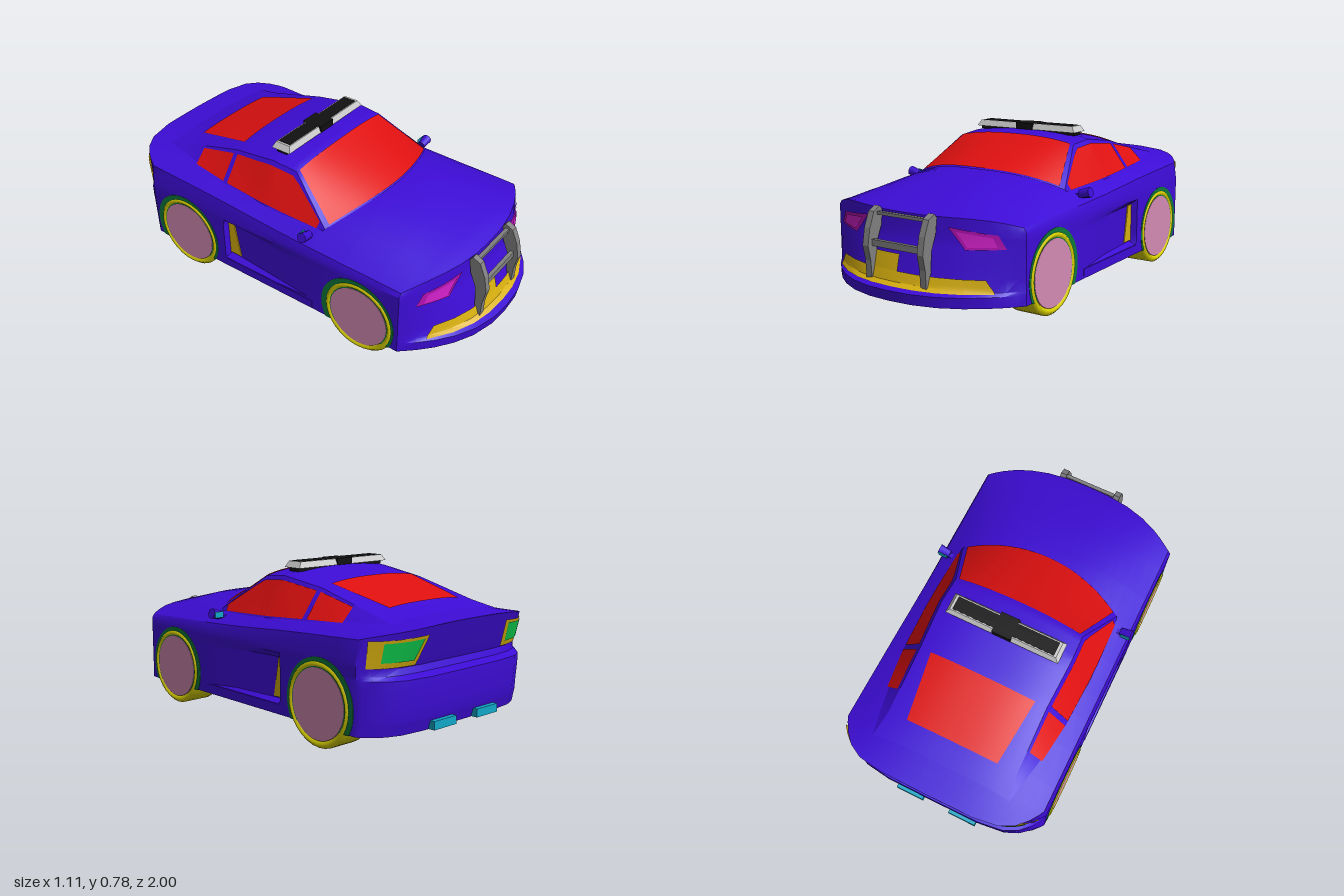
import * as THREE from 'three';
import { toCreasedNormals } from 'three/addons/utils/BufferGeometryUtils.js';

const mat = (color) => new THREE.MeshStandardMaterial({ color, side: THREE.DoubleSide });
const M = {
  paint: mat(0x3d0cd6), glass: mat(0xe01010), lamp: mat(0xb010b0), lampInner: mat(0xd020c8),
  gold: mat(0xd8b010), tyre: mat(0xd8d000), hub: mat(0xd48cb4), under: mat(0x0c7a3a),
  tail: mat(0x10d050), exhaust: mat(0x10a8c8), steel: mat(0x808080), black: mat(0x111111), grey: mat(0xcccccc),
};

// piecewise linear lookup in [key, value] pairs with rising keys
function lookup(table, k) {
  if (k <= table[0][0]) return table[0][1];
  for (let i = 1; i < table.length; i++) {
    const [a, va] = table[i - 1], [b, vb] = table[i];
    if (k <= b) return va + (vb - va) * (k - a) / (b - a);
  }
  return table[table.length - 1][1];
}

// grid surface from fn(i, j) -> [x, y, z]
function surf(nu, nv, fn, crease = 0.6) {
  const pos = [], idx = [];
  for (let i = 0; i <= nu; i++) for (let j = 0; j <= nv; j++) pos.push(...fn(i, j));
  for (let i = 0; i < nu; i++) for (let j = 0; j < nv; j++) {
    const a = i * (nv + 1) + j, b = a + nv + 1;
    idx.push(a, b, b + 1, a, b + 1, a + 1);
  }
  const g = new THREE.BufferGeometry();
  g.setAttribute('position', new THREE.Float32BufferAttribute(pos, 3));
  g.setIndex(idx);
  return toCreasedNormals(g, crease);
}

// lower body: height, nose depth, tail depth of each outline
const W = 0.545;
const levels = [
  [0.10, 0.27, 0.13], [0.15, 0.28, 0.145], [0.165, 0.22, 0.15], [0.22, 0.20, 0.155], [0.30, 0.18, 0.165],
  [0.345, 0.165, 0.165], [0.36, 0.16, 0.12], [0.39, 0.155, 0.11], [0.425, 0.152, 0.125], [0.57, 0.15, 0.18],
];
const noseDepth = levels.map((l) => [l[0], l[1]]), tailDepth = levels.map((l) => [l[0], l[2]]);
const frontZ = (x, d) => 0.72 + d * (1 - Math.pow(Math.abs(x) / W, 2.4));
const rearZ = (x, d) => -0.82 - d * (1 - Math.pow(Math.abs(x) / W, 6));
const crown = [[-1, 0.572], [-0.7, 0.6], [0.33, 0.597], [0.6, 0.55], [0.8, 0.5], [0.87, 0.475]];
const edge = [[-1, 0.53], [-0.8, 0.51], [-0.4, 0.49], [0, 0.46], [0.3, 0.445], [0.7, 0.44], [0.87, 0.43]];
const deckY = (x, z) => {
  const h = lookup(crown, z);
  return h - (h - lookup(edge, z)) * Math.pow(Math.abs(x) / W, 2.7);
};
const frontX = [0, 0.12, 0.24, 0.34, 0.42, 0.48, 0.52, W];
const sideZ = [0.6, 0.4, 0.2, 0, -0.2, -0.325, -0.335, -0.5, -0.7];
const rearX = [W, 0.53, 0.5, 0.45, 0.38, 0.25, 0];
const N = frontX.length + sideZ.length + rearX.length - 1;

function outline(k, level) {
  const [y, fd, rd] = levels[level], top = level === levels.length - 1;
  let x = W, z;
  if (k < frontX.length) { x = frontX[k]; z = frontZ(x, fd); }
  else if (k < frontX.length + sideZ.length) {
    z = sideZ[k - frontX.length];
    // scooped door
    if (y > 0.16 && y < 0.37 && z < 0.2 && z > -0.33) x -= 0.04 * (0.2 - z) / 0.53;
  } else { x = rearX[k - frontX.length - sideZ.length]; z = rearZ(x, rd); }
  if (top) x *= 0.975;
  return [x, top ? deckY(x, z) : y, z];
}

// cabin stations: centre [y, z], roof rail [x, y, z], belt [x, y, z]
const stations = [
  [[0.595, 0.345], [0.44, 0.52, 0.23], [0.445, 0.51, 0.22]],
  [[0.732, 0.0], [0.345, 0.70, -0.01], [0.465, 0.5, -0.01]],
  [[0.745, -0.15], [0.35, 0.712, -0.15], [0.465, 0.505, -0.15]],
  [[0.705, -0.4], [0.34, 0.675, -0.4], [0.455, 0.525, -0.4]],
  [[0.615, -0.73], [0.345, 0.59, -0.73], [0.41, 0.548, -0.73]],
  [[0.573, -0.9], [0.37, 0.552, -0.9], [0.39, 0.54, -0.9]],
];
function station(s) {
  const i = Math.min(Math.floor(s), stations.length - 2), f = s - i;
  return stations[i].map((p, a) => p.map((v, b) => v + (stations[i + 1][a][b] - v) * f));
}
function roofAt(s, t, lift = 0) {
  const [c, r] = station(s), q = Math.abs(t);
  return [t * r[0], c[0] + (r[1] - c[0]) * Math.pow(q, 2.5) + lift, c[1] + (r[2] - c[1]) * q * q + lift * 0.3];
}
function flankAt(s, v, side, out = 0) {
  const [, r, b] = station(s);
  return [side * (b[0] + (r[0] - b[0]) * v + out), b[1] + (r[1] - b[1]) * v + out * 0.4, b[2] + (r[2] - b[2]) * v];
}

// quad [x, y] corners (two top, two bottom) laid on the nose or tail
function facePatch(c, lift, rear = false) {
  return surf(8, 4, (i, j) => {
    const u = i / 8, v = j / 4;
    const p = [0, 1].map((a) => (c[0][a] * (1 - u) + c[1][a] * u) * (1 - v) + (c[2][a] * (1 - u) + c[3][a] * u) * v);
    const z = rear ? rearZ(p[0], lookup(tailDepth, p[1])) - lift : frontZ(p[0], lookup(noseDepth, p[1])) + lift;
    return [p[0], p[1], z];
  });
}

// side-profile extrusion: points are [z, y], width along x
function sideExtrude(shape, width) {
  const g = new THREE.ExtrudeGeometry(shape, { depth: width, bevelEnabled: false, curveSegments: 24 });
  return g.rotateY(-Math.PI / 2).translate(width / 2, 0, 0);
}
const poly = (pts) => new THREE.Shape(pts.map((p) => new THREE.Vector2(p[0], p[1])));

export function createModel() {
  const car = new THREE.Group();
  car.name = 'car';
  const add = (name, geo, m, x = 0, y = 0, z = 0) => {
    const mesh = new THREE.Mesh(geo, m);
    mesh.name = name;
    mesh.position.set(x, y, z);
    car.add(mesh);
    return mesh;
  };
  const box = (name, m, w, h, d, x, y, z) => add(name, new THREE.BoxGeometry(w, h, d), m, x, y, z);
  const L = levels.length - 1;

  // body shell, deck and floor
  add('bodySides', surf(2 * N, L, (i, j) => {
    const p = outline(i <= N ? i : 2 * N - i, j);
    return i <= N ? p : [-p[0], p[1], p[2]];
  }), M.paint);
  add('deck', surf(N, 16, (i, j) => {
    const [x, , z] = outline(i, L), px = x * (1 - j / 8);
    return [px, deckY(px, z), z];
  }), M.paint);
  add('floor', surf(N, 2, (i, j) => {
    const [x, y, z] = outline(i, 0);
    return [x * (j - 1), y, z];
  }), M.under);

  // cabin and glass
  add('roof', surf(20, 16, (i, j) => roofAt(i / 4, j / 8 - 1)), M.paint);
  const glass = (name, s0, s1, t0, t1) => add(name, surf(8, 16, (i, j) => {
    const f = i / 8;
    return roofAt(s0 + (s1 - s0) * f, (j / 8 - 1) * (t0 + (t1 - t0) * f), 0.005);
  }), M.glass);
  glass('windshield', 0.02, 0.98, 0.95, 0.95);
  glass('rearWindow', 3, 4, 0.82, 0.7);

  for (const s of [1, -1]) {
    add('cabinSide', surf(20, 4, (i, j) => flankAt(i / 4, j / 4, s)), M.paint);
    for (const [name, a, b] of [['sideWindow', 0.15, 2.92], ['quarterWindow', 3.02, 3.65]])
      add(name, surf(12, 4, (i, j) => flankAt(a + (b - a) * i / 12, 0.1 + 0.8 * j / 4, s, 0.004)), M.glass);

    // lamps
    add('headlight', facePatch([[s * 0.23, 0.437], [s * 0.445, 0.412], [s * 0.315, 0.342], [s * 0.478, 0.352]], 0.005), M.lamp);
    add('headlightLens', facePatch([[s * 0.27, 0.42], [s * 0.425, 0.402], [s * 0.325, 0.354], [s * 0.445, 0.36]], 0.009), M.lampInner);
    add('tailLightFrame', facePatch([[s * 0.27, 0.53], [s * 0.52, 0.515], [s * 0.30, 0.395], [s * 0.52, 0.395]], 0.005, true), M.gold);
    add('tailLight', facePatch([[s * 0.295, 0.515], [s * 0.475, 0.505], [s * 0.32, 0.42], [s * 0.475, 0.42]], 0.009, true), M.tail);

    // vent at the back of the door scoop
    add('sideVent', sideExtrude(poly([[-0.335, 0.36], [-0.29, 0.36], [-0.255, 0.17], [-0.335, 0.17]]), 0.012), M.gold, s * 0.508);
    // sill skirt
    box('sill', M.paint, 0.02, 0.045, 0.55, s * 0.537, 0.125, -0.05);

    // mirror
    box('mirrorArm', M.paint, 0.06, 0.014, 0.025, s * 0.478, 0.492, 0.17);
    const mirror = add('mirror', new THREE.CylinderGeometry(0.026, 0.02, 0.06, 8), M.paint, s * 0.52, 0.505, 0.175);
    mirror.rotation.z = -s * 1.35;
    box('mirrorGlass', M.exhaust, 0.05, 0.03, 0.004, s * 0.52, 0.505, 0.15);

    // wheels and arch linings
    for (const [name, z, r] of [['frontWheel', 0.5, 0.195], ['rearWheel', -0.59, 0.2]]) {
      const h = 0.081, k = r - 0.037;
      const prof = [[k, -h + 0.012], [k + 0.012, -h], [r - 0.014, -h], [r, -h + 0.014],
        [r, h - 0.014], [r - 0.014, h], [k + 0.012, h], [k, h - 0.012]].map((p) => new THREE.Vector2(...p));
      add(name, toCreasedNormals(new THREE.LatheGeometry(prof, 32).rotateZ(Math.PI / 2), 0.9), M.tyre, s * 0.471, r, z);
      add(name + 'Hub', new THREE.CylinderGeometry(k + 0.002, k + 0.002, 2 * h - 0.007, 32).rotateZ(Math.PI / 2), M.hub, s * 0.471, r, z);
      const R = r + 0.012, a = Math.asin((0.098 - r) / R), arch = new THREE.Shape();
      arch.absarc(z - 0.008, r, R, a, Math.PI - a, false);
      add(name + 'Arch', sideExtrude(arch, 0.166), M.under, s * 0.464);
    }

    // push bar upright
    add('pushBarUpright', sideExtrude(poly([[0.94, 0.155], [0.945, 0.25], [0.96, 0.32], [0.945, 0.4], [0.915, 0.47],
      [0.875, 0.49], [0.86, 0.47], [0.87, 0.4], [0.9, 0.33], [0.915, 0.155]]), 0.033), M.steel, s * 0.157);
    // exhaust
    box('exhaust', M.exhaust, 0.15, 0.04, 0.09, s * 0.15, 0.122, -0.94);
  }

  // push bar rails, grille and plate
  box('pushBarTopRail', M.steel, 0.3, 0.015, 0.02, 0, 0.46, 0.885);
  box('pushBarLowerRail', M.steel, 0.3, 0.03, 0.02, 0, 0.332, 0.925);
  add('lowerGrille', facePatch([[-0.41, 0.22], [0.41, 0.22], [-0.45, 0.16], [0.45, 0.16]], 0.01), M.gold);
  add('frontPlate', facePatch([[-0.14, 0.295], [0, 0.295], [-0.14, 0.22], [0, 0.22]], 0.01), M.gold);

  // light bar, narrower at the top
  const bar = new THREE.BoxGeometry(0.6, 0.03, 0.11), p = bar.attributes.position;
  for (let i = 0; i < p.count; i++) if (p.getY(i) > 0) p.setXYZ(i, p.getX(i) * 0.94, p.getY(i), p.getZ(i) * 0.75);
  bar.computeVertexNormals();
  add('lightBar', bar, M.grey, 0, 0.76, -0.145);
  box('lightBarTop', M.black, 0.54, 0.004, 0.07, 0, 0.775, -0.145);
  box('lightBarCentre', M.black, 0.1, 0.033, 0.112, 0, 0.7605, -0.145);
  box('lightBarBase', M.black, 0.58, 0.02, 0.06, 0, 0.737, -0.145);
  return car;
}
